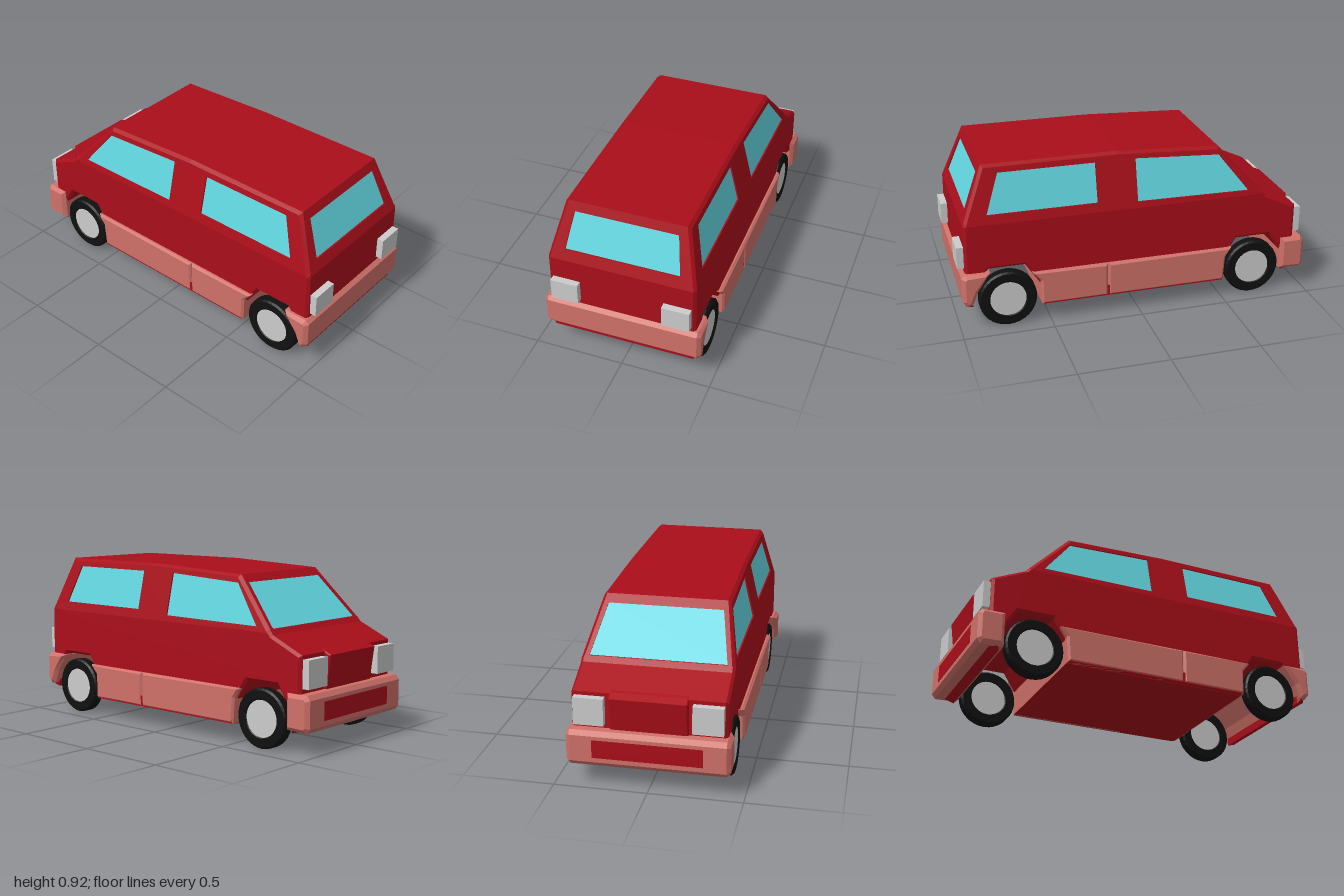
import * as THREE from 'three';

const paint = (color) => new THREE.MeshStandardMaterial({ color, flatShading: true, side: THREE.DoubleSide });
const RED = paint(0xaa0e1a), GLASS = paint(0x62d6e0), TRIM = paint(0xcf7169);
const GREY = paint(0xcccccc), RUBBER = paint(0x101010);

const BEVEL = 0.015, BELT = 0.61;
// half width of the cabin, leaning inwards above the belt line
const halfWidth = (y) => 0.408 - (y - BELT) * 0.235;
const vec = (pts) => pts.map(([a, b]) => new THREE.Vector2(a, b));

function add(parent, name, geometry, material, x = 0, y = 0, z = 0) {
  const mesh = new THREE.Mesh(geometry, material);
  mesh.name = name;
  mesh.position.set(x, y, z);
  parent.add(mesh);
  return mesh;
}

// side profile in (z, y), extruded across x with chamfered edges
function sideExtrude(profile, half, bevel = BEVEL) {
  const depth = 2 * (half - bevel);
  const geometry = new THREE.ExtrudeGeometry(new THREE.Shape(vec(profile)), {
    depth, bevelEnabled: bevel > 0, bevelSize: bevel, bevelThickness: bevel, bevelOffset: -bevel, bevelSegments: 1,
  });
  return geometry.rotateY(-Math.PI / 2).translate(depth / 2, 0, 0);
}

// bend a flat geometry by a rule: (u, v, depth) -> [x, y, z]
function mapped(geometry, rule) {
  const g = geometry.index ? geometry.toNonIndexed() : geometry;
  const p = g.attributes.position;
  for (let i = 0; i < p.count; i++) p.setXYZ(i, ...rule(p.getX(i), p.getY(i), p.getZ(i)));
  g.computeVertexNormals();
  return g;
}

// body panel with window openings and recessed glass
function windowPanel(parent, name, outline, windows, rule) {
  const shape = new THREE.Shape(vec(outline));
  windows.forEach((w) => shape.holes.push(new THREE.Path(vec(w))));
  add(parent, name + 'Panel', mapped(new THREE.ExtrudeGeometry(shape, { depth: 0.012, bevelEnabled: false }), rule), RED);
  windows.forEach((w) => {
    const pane = new THREE.ShapeGeometry(new THREE.Shape(vec(w)));
    add(parent, name + 'Glass', mapped(pane, (u, v) => rule(u, v, 0.008)), GLASS);
  });
}

function quads(list) {
  const pos = list.flatMap(([a, b, c, d]) => [a, b, c, a, c, d].flat());
  const g = new THREE.BufferGeometry();
  g.setAttribute('position', new THREE.Float32BufferAttribute(pos, 3));
  g.computeVertexNormals();
  return g;
}

function buildCabin() {
  const cabin = new THREE.Group();
  cabin.name = 'cabin';
  // centre outline and the slightly smaller outline of the sides, in (z, y)
  const outer = [[0.96, BELT], [0.84, 0.92], [0.1, 0.92], [-0.48, 0.893], [-0.742, BELT]];
  const inner = [[0.944, BELT], [0.828, 0.905], [0.1, 0.905], [-0.472, 0.878], [-0.72, BELT]];
  const edge = ([z, y], s) => [s * (halfWidth(y) - BEVEL), y, z];
  const side = ([z, y], s) => [s * halfWidth(y), y, z];

  // roof
  add(cabin, 'roof', quads([1, 2].map((i) =>
    [edge(outer[i], 1), edge(outer[i + 1], 1), edge(outer[i + 1], -1), edge(outer[i], -1)])), RED);

  // sides with two windows each, and the chamfer around them
  const sideWindows = [
    [[0.83, 0.66], [0.755, 0.875], [0.225, 0.875], [0.225, 0.66]],
    [[0, 0.643], [0, 0.875], [-0.478, 0.85], [-0.645, 0.637]],
  ];
  for (const s of [1, -1]) {
    windowPanel(cabin, s > 0 ? 'leftSide' : 'rightSide', inner, sideWindows,
      (z, y, d) => [s * (halfWidth(y) - d), y, z]);
    const strip = [0, 1, 2, 3].map((i) => {
      const q = [side(inner[i], s), side(inner[i + 1], s), edge(outer[i + 1], s), edge(outer[i], s)];
      return s > 0 ? q : q.reverse();
    });
    add(cabin, 'cabinEdge', quads(strip), RED);
  }

  // sloping end panels: hatch at +z, windscreen at -z
  const endPanel = (name, low, high, windowCorners, inward) => {
    const a = edge(low, 1)[0], b = edge(high, 1)[0];
    const [[x0, y0], [x1, y1]] = windowCorners;
    const slope = (high[0] - low[0]) / (high[1] - low[1]);
    windowPanel(cabin, name, [[-a, low[1]], [a, low[1]], [b, high[1]], [-b, high[1]]],
      [[[-x0, y0], [x0, y0], [x1, y1], [-x1, y1]]],
      (x, y, d) => [x, y, low[0] + (y - low[1]) * slope + inward * d]);
  };
  endPanel('hatch', outer[0], outer[1], [[0.315, 0.668], [0.282, 0.87]], -1);
  endPanel('windscreen', outer[4], outer[3], [[0.365, 0.628], [0.31, 0.852]], 1);
  return cabin;
}

// wheel arch opening around a wheel centre, from back (+z) to front
const arch = (z) => [[0.19, 0.13], [0.185, 0.22], [0.1, 0.35], [-0.1, 0.35], [-0.185, 0.22], [-0.19, 0.11]]
  .map(([dz, y]) => [z + dz, y]);

export function createModel() {
  const van = new THREE.Group();
  van.name = 'van';
  const REAR = 0.735, FRONT = -0.685;

  // lower body with bonnet and wheel arches
  add(van, 'lowerBody', sideExtrude([
    [0.954, 0.625], [0.96, BELT], [0.965, 0.14], ...arch(REAR), ...arch(FRONT),
    [-0.935, 0.13], [-0.935, 0.515], [-0.75, 0.6], [-0.728, 0.625],
  ], 0.408), RED);
  van.add(buildCabin());

  // nose between the headlights
  add(van, 'nose', sideExtrude([[-0.972, 0.5], [-0.93, 0.519], [-0.9, 0.53], [-0.9, 0.3], [-0.945, 0.3]], 0.205, 0.006), RED);

  // bumpers
  add(van, 'rearBumper', sideExtrude([
    [0.985, 0.32], [0.965, 0.34], [0.83, 0.338], [0.9, 0.23], [0.93, 0.155], [0.96, 0.15], [0.985, 0.18],
  ], 0.44, 0.02), TRIM);
  add(van, 'frontBumper', sideExtrude([
    [-0.999, 0.295], [-0.98, 0.32], [-0.855, 0.32], [-0.855, 0.13], [-0.98, 0.125], [-0.999, 0.15],
  ], 0.43, 0.02), TRIM);
  add(van, 'airIntake', new THREE.BoxGeometry(0.58, 0.1, 0.02), RED, 0, 0.225, -0.99);

  // floor pan and side skirts in two lengths
  add(van, 'floorPan', new THREE.BoxGeometry(0.85, 0.06, 1.04), RED, 0, 0.14, 0.02);
  add(van, 'rearSkirts', sideExtrude([[0.6, 0.305], [0.555, 0.25], [0.552, 0.11], [0.176, 0.11], [0.176, 0.305]], 0.43, 0.012), TRIM);
  add(van, 'frontSkirts', sideExtrude([[0.174, 0.305], [0.174, 0.11], [-0.505, 0.11], [-0.515, 0.25], [-0.55, 0.305]], 0.43, 0.012), TRIM);
  add(van, 'underside', new THREE.BoxGeometry(0.8, 0.02, 1.05), RED, 0, 0.117, 0.02);

  const tyre = new THREE.LatheGeometry(vec([
    [0.1, -0.028], [0.105, -0.0325], [0.15, -0.0325], [0.16, -0.023],
    [0.16, 0.023], [0.15, 0.0325], [0.105, 0.0325], [0.1, 0.028],
  ]), 32).rotateZ(Math.PI / 2);
  const hub = new THREE.CylinderGeometry(0.102, 0.102, 0.056, 32).rotateZ(Math.PI / 2);

  for (const s of [1, -1]) {
    // lights
    add(van, 'tailLight', new THREE.BoxGeometry(0.152, 0.122, 0.05), GREY, s * 0.309, 0.426, 0.974);
    add(van, 'headlight', new THREE.BoxGeometry(0.16, 0.15, 0.05), GREY, s * 0.31, 0.42, -0.949);
    // wheels
    for (const z of [REAR, FRONT]) {
      const wheel = new THREE.Group();
      wheel.name = z > 0 ? 'rearWheel' : 'frontWheel';
      wheel.position.set(s * 0.378, 0.16, z);
      add(wheel, 'tyre', tyre, RUBBER);
      add(wheel, 'hub', hub, GREY);
      van.add(wheel);
    }
  }
  return van;
}
